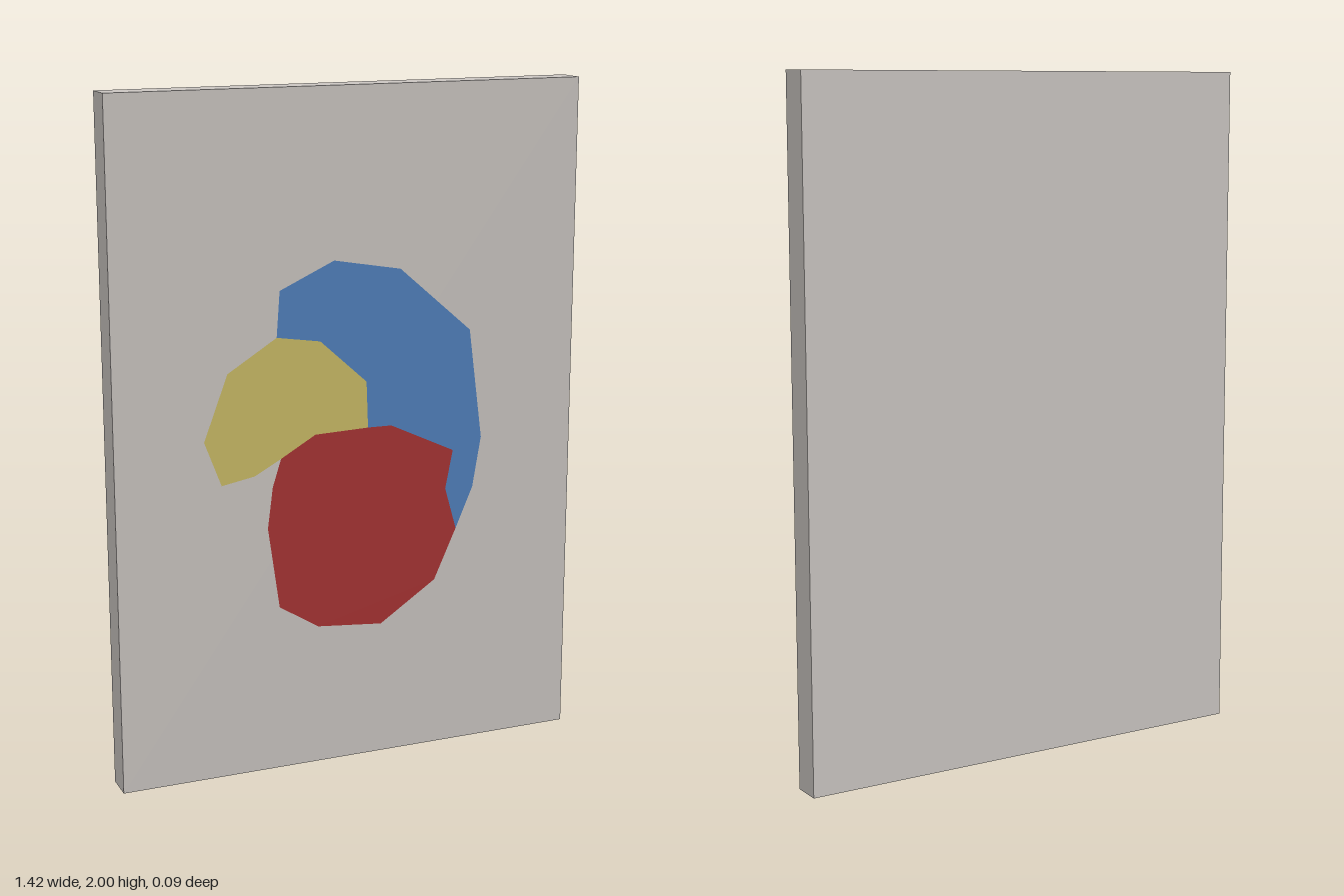
import * as THREE from 'three';

const WIDTH = 1.425, HEIGHT = 2, DEPTH = 0.09;

function makeMaterial(name, color) {
  const material = new THREE.MeshStandardMaterial({ color });
  material.name = name;
  return material;
}

export function createModel() {
  const group = new THREE.Group();
  group.name = 'paintedPanel';

  // Upright slab
  const panel = new THREE.Mesh(
    new THREE.BoxGeometry(WIDTH, HEIGHT, DEPTH),
    makeMaterial('warmGrey', 0xcac5c1)
  );
  panel.name = 'panel';
  panel.position.y = HEIGHT / 2;
  group.add(panel);

  // Edges shared by neighbouring patches
  const blueYellow = [[-0.23, 1.304], [-0.098, 1.283], [0.045, 1.153], [0.05, 1.016]];
  const yellowRed = [[-0.114, 1.011], [-0.22, 0.95]];
  const blueRed = [[0.124, 1.015], [0.323, 0.92], [0.3, 0.804], [0.336, 0.677]];

  // Flat painted patches just proud of the front face
  function addPatch(name, material, points) {
    const shape = new THREE.Shape(points.map(([x, y]) => new THREE.Vector2(x, y)));
    const patch = new THREE.Mesh(new THREE.ShapeGeometry(shape), material);
    patch.name = name;
    patch.position.z = DEPTH / 2 + 0.002;
    group.add(patch);
  }

  addPatch('bluePatch', makeMaterial('blue', 0x5080bc), [
    ...blueYellow, ...blueRed,
    [0.389, 0.8], [0.415, 0.952], [0.373, 1.28], [0.15, 1.475], [-0.055, 1.512], [-0.22, 1.437],
  ]);

  addPatch('yellowPatch', makeMaterial('yellow', 0xc9ba65), [
    ...blueYellow, ...yellowRed,
    [-0.3, 0.907], [-0.4, 0.889], [-0.45, 1.021], [-0.378, 1.212],
  ]);

  addPatch('redPatch', makeMaterial('red', 0xa73333), [
    yellowRed[0], blueYellow[3], ...blueRed,
    [0.267, 0.524], [0.093, 0.408], [-0.108, 0.427], [-0.228, 0.503],
    [-0.262, 0.746], [-0.246, 0.868], yellowRed[1],
  ]);

  return group;
}
